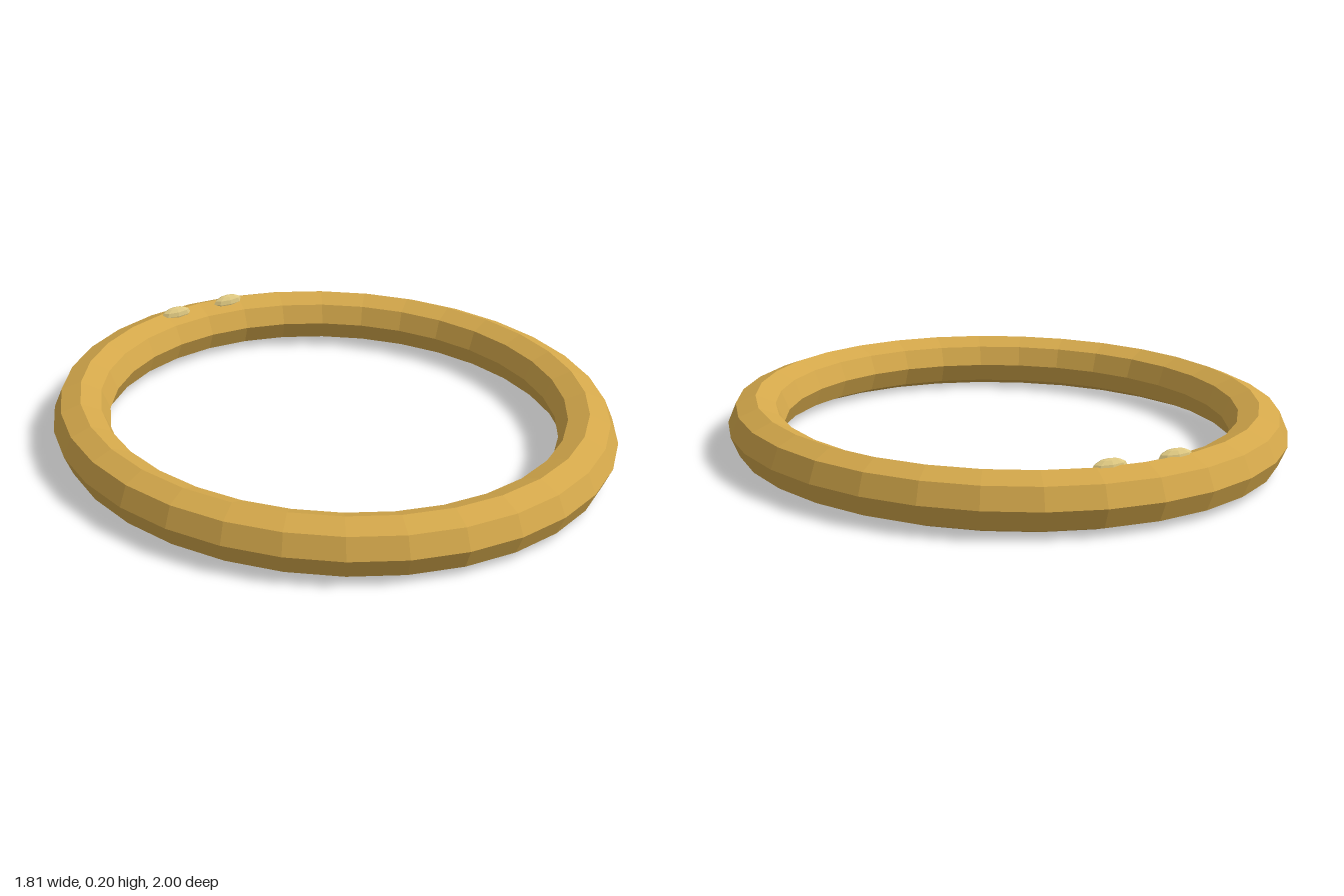
import * as THREE from 'three';

const mat = (color) => new THREE.MeshStandardMaterial({ color, flatShading: true });

export function createModel() {
  const model = new THREE.Group();
  model.name = 'bangle';

  // Oval octagonal band lying flat
  const tube = 0.092;
  const band = new THREE.TorusGeometry(0.814, tube, 8, 32);
  band.rotateX(-Math.PI / 2);
  band.scale(1, 1, 1.104);
  band.translate(0, tube, 0);
  const ring = new THREE.Mesh(band, mat(0xd4a84b));
  ring.name = 'band';
  model.add(ring);

  // Pair of small faceted studs set into the inner slope at the back
  const stud = new THREE.SphereGeometry(1, 8, 6);
  stud.scale(0.06, 0.029, 0.024);
  const studMaterial = mat(0xdcc680);
  for (const side of [-1, 1]) {
    const mesh = new THREE.Mesh(stud, studMaterial);
    mesh.name = side > 0 ? 'leftStud' : 'rightStud';
    mesh.position.set(side * 0.111, 0.174, -0.872);
    model.add(mesh);
  }
  return model;
}
